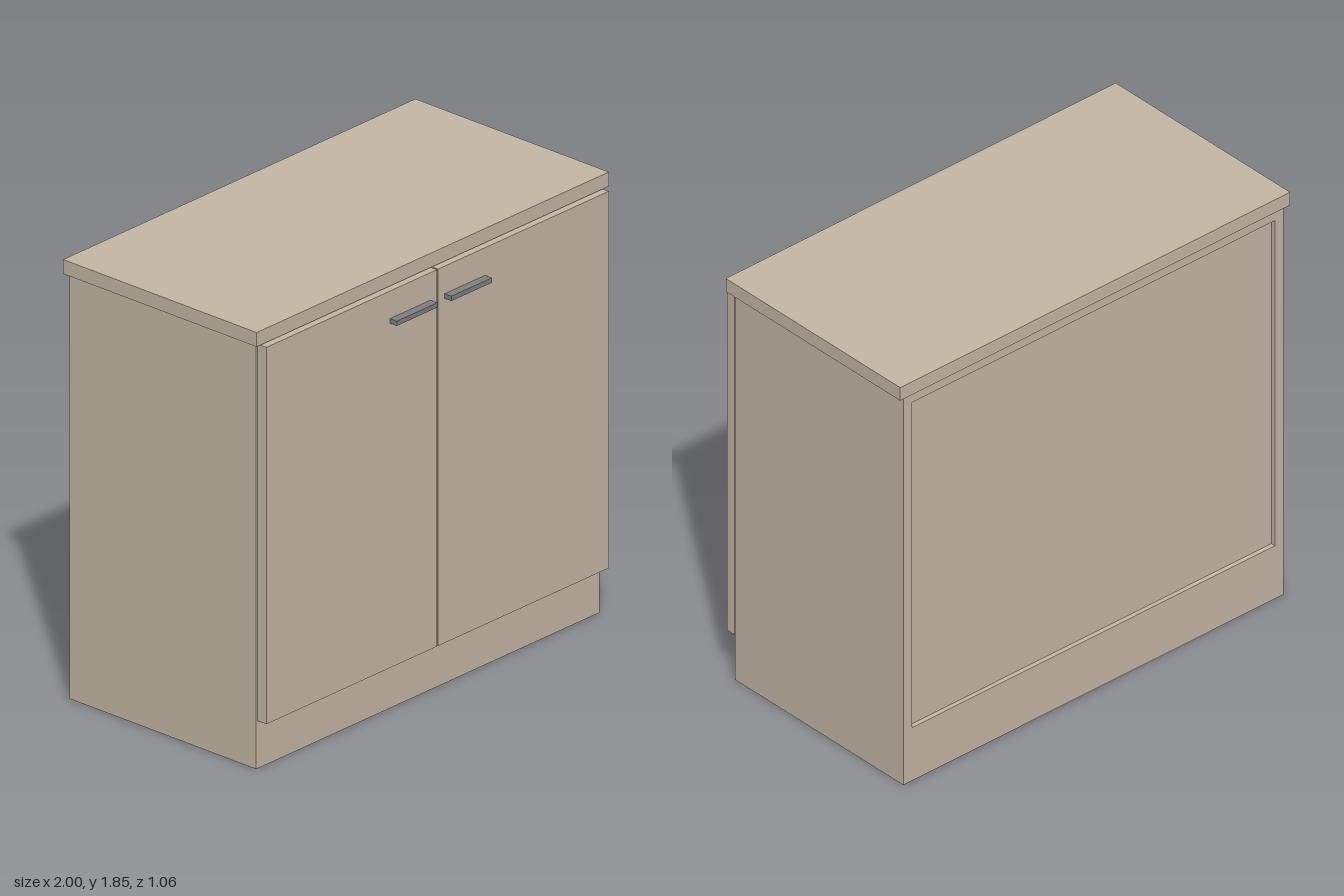
import * as THREE from 'three';

export function createModel() {
  const cabinet = new THREE.Group();
  cabinet.name = 'baseCabinet';
  const wood = new THREE.MeshStandardMaterial({ color: 0xc4b7a5 });
  const metal = new THREE.MeshStandardMaterial({ color: 0x808080 });

  // Box given by its extents on each axis
  function board(name, [x0, x1], [y0, y1], [z0, z1], material = wood) {
    const mesh = new THREE.Mesh(new THREE.BoxGeometry(x1 - x0, y1 - y0, z1 - z0), material);
    mesh.position.set((x0 + x1) / 2, (y0 + y1) / 2, (z0 + z1) / 2);
    mesh.name = name;
    cabinet.add(mesh);
  }
  // Extents on the +x side, repeated on the -x side
  function pair(name, [x0, x1], y, z, material) {
    board('left' + name, [x0, x1], y, z, material);
    board('right' + name, [-x1, -x0], y, z, material);
  }

  const T = 0.045;               // board thickness
  const W = 0.975;               // half width of the carcass
  const back = -0.52, front = 0.445, top = 1.79, floor = 0.21;
  const inner = [-W + T, W - T];

  // Worktop
  board('worktop', [-1, 1], [top, 1.85], [-0.53, 0.47]);

  // Carcass
  pair('SidePanel', [W - T, W], [0, top], [back, front]);
  board('topPanel', inner, [top - T, top], [back, front]);
  board('bottomPanel', inner, [floor, 0.245], [back, front]);
  board('shelf', inner, [0.97, 1.01], [back + 0.04, front - 0.02]);
  board('backPanel', inner, [0.245, top - T], [back + 0.02, back + 0.04]);

  // Plinth boards and the battens under the bottom panel
  board('frontPlinth', inner, [0, floor], [front - T, front]);
  board('backPlinth', inner, [0, floor], [back, back + T]);
  pair('Batten', [0.33, 0.65], [0.17, floor], [back + T, front - T]);

  // Doors and handles
  pair('Door', [0.003, 0.972], [0.203, 1.786], [0.45, 0.495]);
  pair('Handle', [0.04, 0.27], [1.65, 1.67], [0.495, 0.53], metal);

  return cabinet;
}
